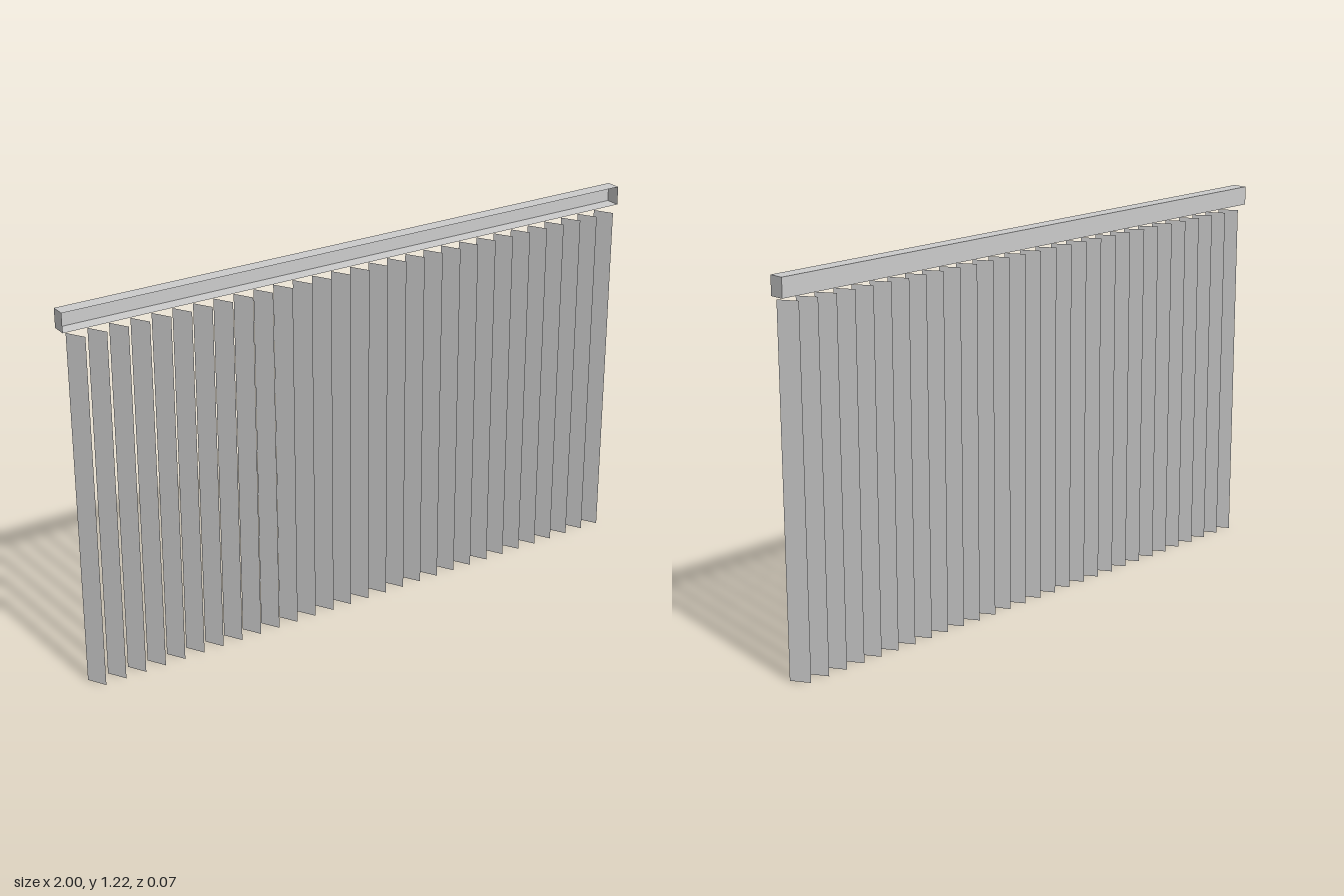
import * as THREE from 'three';

const SLATS = 29;
const FIRST_X = -0.957;
const LAST_X = 0.951;
const SLAT_HEIGHT = 1.137;
const SLAT_WIDTH = 0.066;
const SLAT_TURN = -Math.PI / 3; // slat runs 30 degrees off the z axis

export function createModel() {
  const group = new THREE.Group();
  group.name = 'verticalBlind';
  const material = new THREE.MeshStandardMaterial({
    color: 0xcccccc, side: THREE.DoubleSide, flatShading: true,
  });

  // Head rail: thin sheet channel, open towards the front
  const railGeometry = new THREE.BoxGeometry(2, 0.06, 0.048);
  const index = Array.from(railGeometry.index.array);
  index.splice(24, 6); // drop the +z side
  railGeometry.setIndex(index);
  railGeometry.clearGroups();
  const rail = new THREE.Mesh(railGeometry, material);
  rail.name = 'headRail';
  rail.position.set(0, 1.185, -0.009);
  group.add(rail);

  // Hanging slats: flat strips, all turned by the same angle
  const slats = new THREE.Group();
  slats.name = 'slats';
  const slatGeometry = new THREE.PlaneGeometry(SLAT_WIDTH, SLAT_HEIGHT);
  for (let i = 0; i < SLATS; i++) {
    const slat = new THREE.Mesh(slatGeometry, material);
    slat.name = `slat${i + 1}`;
    const x = THREE.MathUtils.lerp(FIRST_X, LAST_X, i / (SLATS - 1));
    slat.position.set(x, SLAT_HEIGHT / 2, 0.005);
    slat.rotation.y = SLAT_TURN;
    slats.add(slat);
  }
  group.add(slats);

  return group;
}
